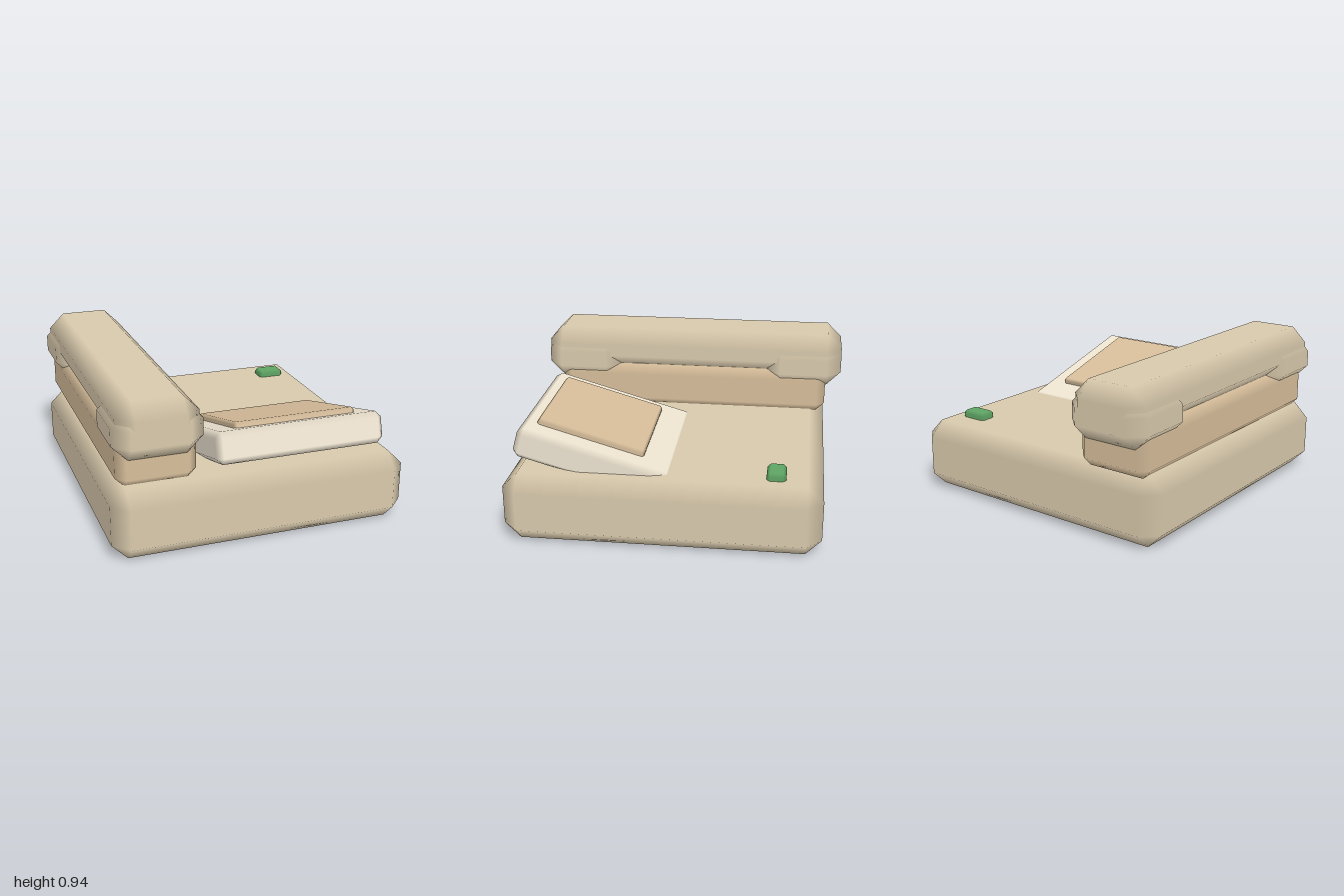
import * as THREE from 'three';
import { ConvexGeometry } from 'three/addons/geometries/ConvexGeometry.js';

// Box with single-step chamfers; normals are flat on the faces and blend across the chamfers.
function chamferBox(w, h, d, c) {
  const half = [w / 2, h / 2, d / 2];
  const points = [];
  for (let axis = 0; axis < 3; axis++)
    for (const sx of [-1, 1]) for (const sy of [-1, 1]) for (const sz of [-1, 1]) {
      const s = [sx, sy, sz];
      points.push(new THREE.Vector3(...half.map((v, i) => s[i] * (i === axis ? v : v - c))));
    }
  const geometry = new ConvexGeometry(points);
  const p = geometry.attributes.position, n = geometry.attributes.normal;
  for (let i = 0; i < p.count; i++) {
    const v = [p.getX(i), p.getY(i), p.getZ(i)];
    n.setXYZ(i, ...v.map((a, k) => (Math.abs(a) > half[k] - c / 2 ? Math.sign(a) : 0)));
  }
  return geometry;
}

export function createModel() {
  const paint = (color) => new THREE.MeshStandardMaterial({ color });
  const beige = paint(0xd8c9ac), cream = paint(0xede3d0), tan = paint(0xd6bd9a), green = paint(0x5fa564);

  const add = (parent, name, material, size, chamfer, position) => {
    const mesh = new THREE.Mesh(chamferBox(...size, chamfer), material);
    mesh.name = name;
    mesh.position.set(...position);
    parent.add(mesh);
    return mesh;
  };

  const model = new THREE.Group();
  model.name = 'deskPhone';

  // Body and handset rest
  add(model, 'base', beige, [1.81, 0.43, 1.9], 0.095, [0, 0.215, 0.05]);
  add(model, 'cradle', tan, [0.475, 0.28, 1.8], 0.055, [-0.62, 0.56, 0]);

  // Handset: grip with an ear piece and a mouth piece
  const handset = new THREE.Group();
  handset.name = 'handset';
  handset.position.x = -0.623;
  model.add(handset);
  add(handset, 'grip', beige, [0.48, 0.27, 2], 0.095, [0, 0.81, 0]);
  for (const [name, side] of [['earPiece', -1], ['mouthPiece', 1]])
    add(handset, name, beige, [0.53, 0.29, 0.5], 0.095, [0, 0.745, side * 0.75]);

  // Tilted panel with its inset plate
  const panel = new THREE.Group();
  panel.name = 'tiltedPanel';
  panel.position.set(0.237, 0.469, 0.473);
  panel.rotation.x = -0.28;
  model.add(panel);
  add(panel, 'panelHousing', cream, [1.045, 0.19, 0.95], 0.036, [0, 0, 0]);
  add(panel, 'panelPlate', tan, [0.76, 0.06, 0.67], 0.016, [0, 0.1, 0.055]);

  // Indicator light
  add(model, 'indicatorLight', green, [0.175, 0.06, 0.115], 0.02, [0.663, 0.445, -0.62]);

  return model;
}
